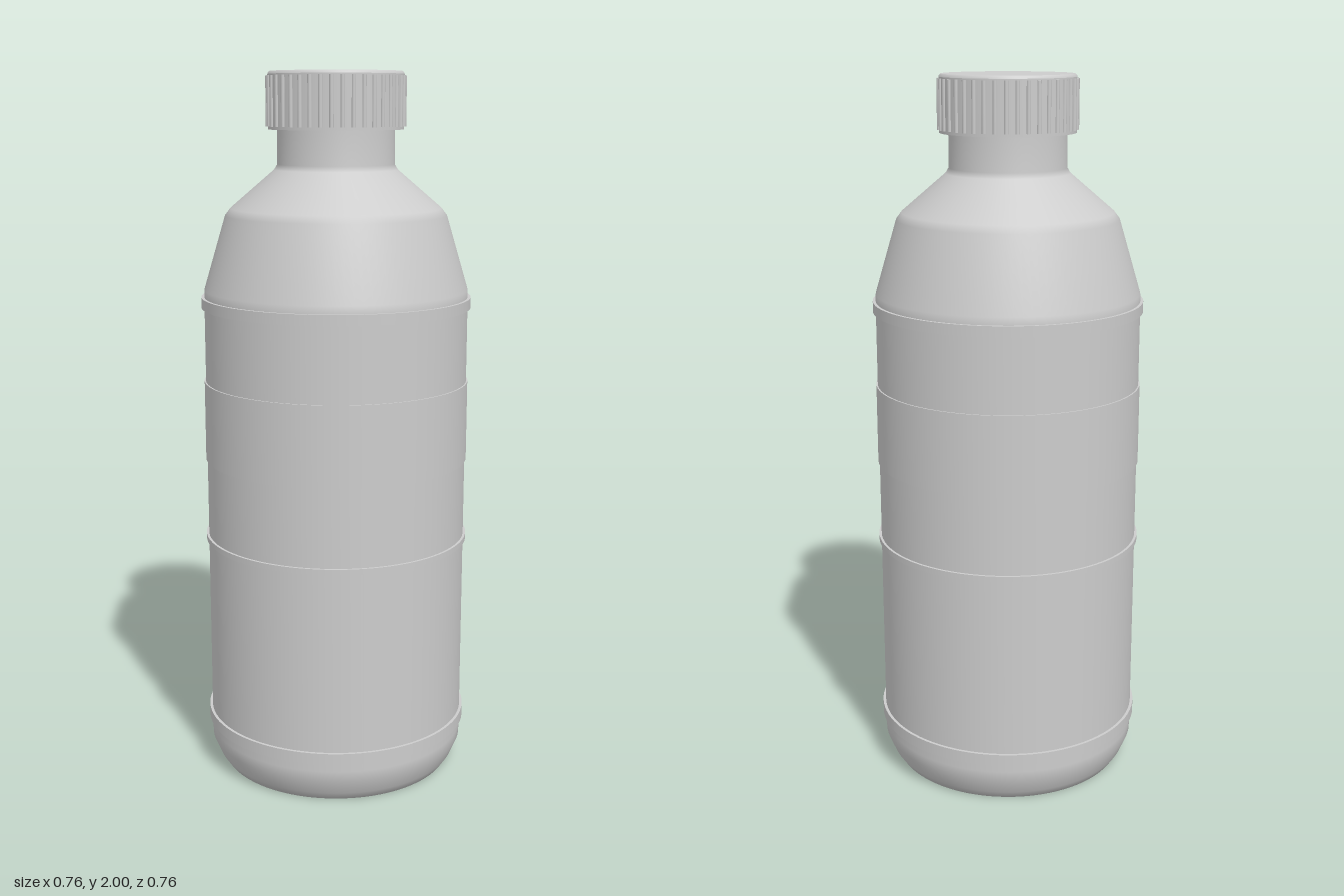
import * as THREE from 'three';

const SEGMENTS = 96;

export function createModel() {
  const model = new THREE.Group();
  model.name = 'bottle';
  const plastic = new THREE.MeshStandardMaterial({ color: 0xcccccc });
  plastic.name = 'grey plastic';

  const add = (name, geometry, parent = model) => {
    const mesh = new THREE.Mesh(geometry, plastic);
    mesh.name = name;
    parent.add(mesh);
    return mesh;
  };
  const lathe = (points) =>
    new THREE.LatheGeometry(points.map(([r, y]) => new THREE.Vector2(r, y)), SEGMENTS);

  // Body with chamfered foot, tapered shoulder and neck
  add('body', lathe([
    [0, 0], [0.335, 0], [0.352, 0.025], [0.371, 0.07], [0.372, 0.1],
    [0.372, 1.38], [0.371, 1.405], [0.31, 1.61], [0.295, 1.63],
    [0.172, 1.735], [0.163, 1.75], [0.163, 1.86],
  ]));

  // Raised rings and the label sleeve: bottom, top, radius
  const bands = [
    ['lowerRing', 0.125, 0.158, 0.38],
    ['middleRing', 0.679, 0.695, 0.379],
    ['labelSleeve', 0.918, 1.145, 0.376],
    ['upperRing', 1.354, 1.384, 0.38],
  ];
  for (const [name, bottom, top, radius] of bands) {
    const geometry = new THREE.CylinderGeometry(radius, radius, top - bottom, SEGMENTS);
    add(name, geometry).position.y = (bottom + top) / 2;
  }

  // Screw cap: straight wall, small bevel and flat faces
  const cap = new THREE.Group();
  cap.name = 'cap';
  model.add(cap);
  add('capWall', lathe([[0.188, 1.844], [0.188, 1.992]]), cap);
  add('capBevel', lathe([[0.188, 1.992], [0.186, 1.997], [0.182, 2]]), cap);
  add('capTop', lathe([[0.182, 2], [0, 2]]), cap);
  add('capUnderside', lathe([[0.15, 1.844], [0.188, 1.844]]), cap);

  // Grip ribs around the cap
  const ribCount = 40;
  const ribShape = new THREE.CylinderGeometry(0.006, 0.006, 0.136, 8);
  for (let i = 0; i < ribCount; i++) {
    const angle = (i / ribCount) * Math.PI * 2;
    add('capRib', ribShape, cap).position.set(
      Math.sin(angle) * 0.188, 1.92, Math.cos(angle) * 0.188);
  }

  return model;
}
